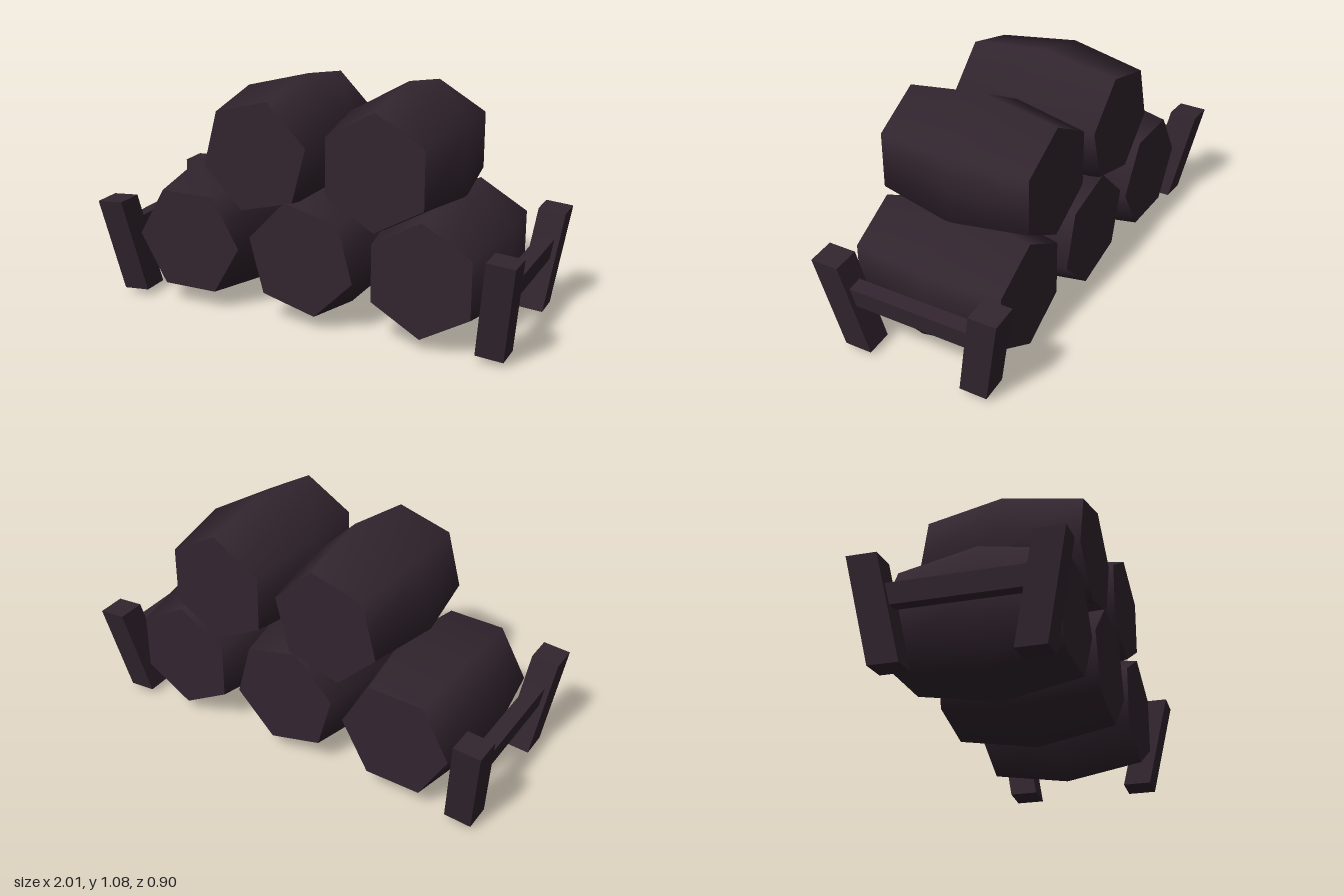
import * as THREE from 'three';

const HALF = 0.36, R_END = 0.26, R_MID = 0.32;

export function createModel() {
  const model = new THREE.Group();
  const wood = new THREE.MeshStandardMaterial({ color: 0x32252f });
  wood.name = 'dark plum wood';

  const add = (parent, geometry, name) => {
    const mesh = new THREE.Mesh(geometry, wood);
    mesh.name = name;
    parent.add(mesh);
    return mesh;
  };

  // Six-sided bulging barrels: x, y and the angle of one corner in degrees
  const profile = [[R_END, -HALF], [R_MID, 0], [R_END, HALF]].map(p => new THREE.Vector2(...p));
  const staves = new THREE.LatheGeometry(profile, 6).rotateX(Math.PI / 2).rotateZ(Math.PI / 2);
  const lid = new THREE.CircleGeometry(R_END, 6);
  [
    ['leftLower', -0.56, 0.325, 0],
    ['middleLower', 0.01, 0.325, 45],
    ['rightLower', 0.575, 0.325, 30],
    ['rightUpper', 0.36, 0.765, 30],
    ['leftUpper', -0.21, 0.765, 15],
  ].forEach(([name, x, y, angle]) => {
    const barrel = new THREE.Group();
    barrel.name = name + 'Barrel';
    add(barrel, staves, 'staves');
    add(barrel, lid, 'frontLid').position.z = HALF;
    const back = add(barrel, lid, 'backLid');
    back.position.z = -HALF;
    back.rotation.y = Math.PI;
    barrel.position.set(x, y, 0);
    barrel.rotation.z = THREE.MathUtils.degToRad(angle);
    model.add(barrel);
  });

  // Splayed post, leaning outward in x and z
  const post = (sx, sz) => {
    const g = new THREE.BoxGeometry(0.125, 0.45, 0.13);
    const p = g.attributes.position;
    for (let i = 0; i < p.count; i++) {
      const x = p.getX(i), y = p.getY(i), z = p.getZ(i);
      const t = y / 0.45;
      p.setXYZ(i, x + sx * 0.06 * t, y - sx * x * 0.08, z + sz * (0.335 + 0.09 * t));
    }
    g.computeVertexNormals();
    return g;
  };

  // End trestles: two posts joined by a rail
  for (const s of [1, -1]) {
    const trestle = new THREE.Group();
    trestle.name = s > 0 ? 'leftTrestle' : 'rightTrestle';
    add(trestle, post(s, 1), 'frontPost');
    add(trestle, post(s, -1), 'backPost');
    const rail = add(trestle, new THREE.BoxGeometry(0.07, 0.09, 0.62), 'rail');
    rail.position.set(s * 0.012, 0.06, 0);
    rail.rotation.z = -s * 0.13;
    trestle.position.set(s * 0.904, 0.26, s > 0 ? -0.008 : 0);
    trestle.rotation.y = 0.02;
    model.add(trestle);
  }

  return model;
}
